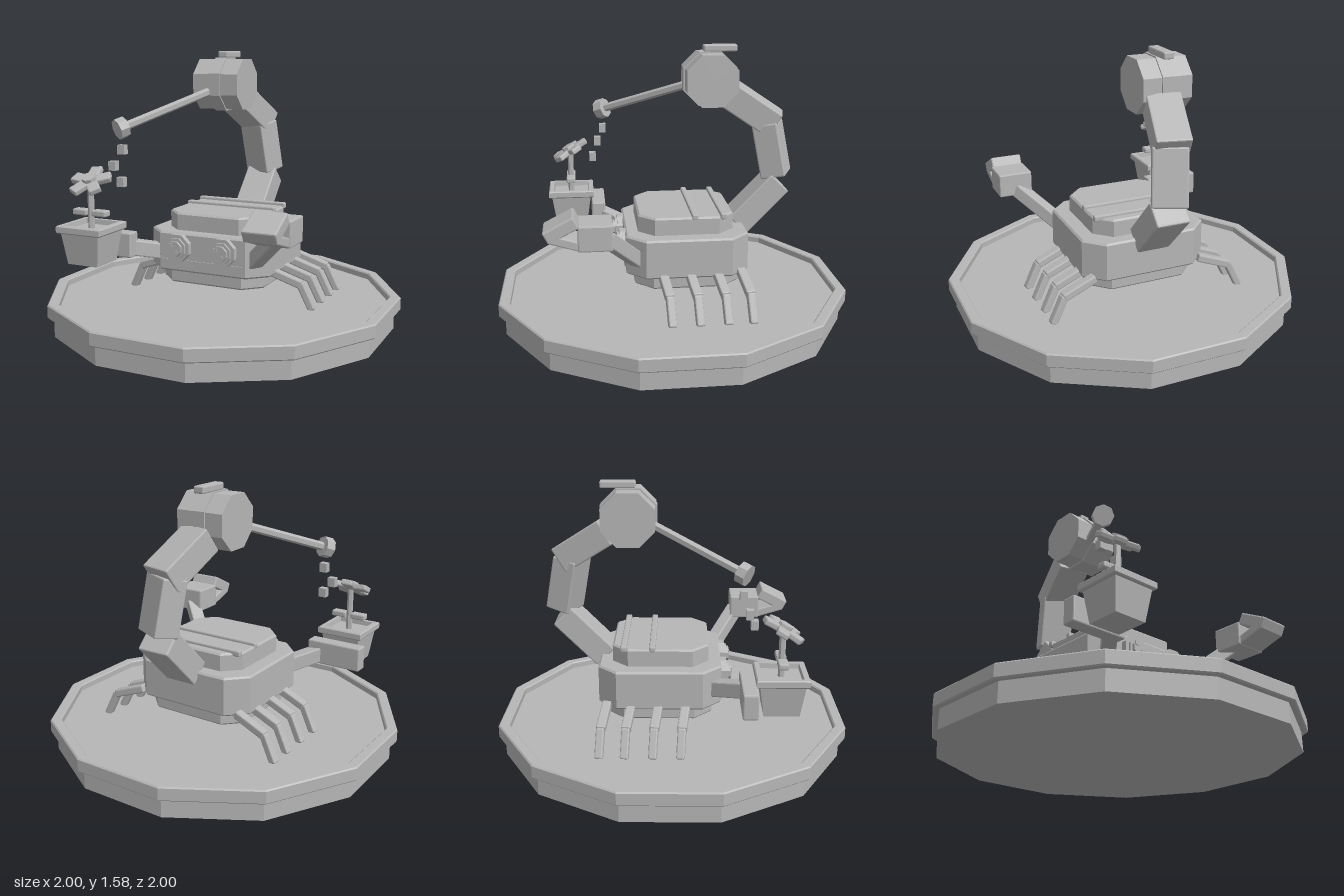
import * as THREE from 'three';
import { RoundedBoxGeometry } from 'three/addons/geometries/RoundedBoxGeometry.js';

const V = (x, y, z) => new THREE.Vector3(x, y, z);

export function createModel() {
  const model = new THREE.Group();
  model.name = 'gardenCrabScorpion';
  const clay = new THREE.MeshStandardMaterial({ color: 0xb6b6b6 });
  clay.name = 'clay grey';

  // faceted mesh
  const add = (name, geo, pos = V(0, 0, 0), parent = model) => {
    const flat = geo.index ? geo.toNonIndexed() : geo;
    flat.computeVertexNormals();
    const mesh = new THREE.Mesh(flat, clay);
    mesh.name = name;
    mesh.position.copy(pos);
    parent.add(mesh);
    return mesh;
  };
  const block = (w, h, d, bevel = 0.008) => new RoundedBoxGeometry(w, h, d, 1, bevel);
  // bar running from a to b
  const beam = (name, a, b, w, h) => {
    const mesh = add(name, block(w, h, a.distanceTo(b)), a.clone().add(b).multiplyScalar(0.5));
    mesh.lookAt(b);
    return mesh;
  };
  // round bar running from a to b
  const rod = (name, a, b, r, sides) => {
    const mesh = add(name, new THREE.CylinderGeometry(r, r, a.distanceTo(b), sides).rotateX(Math.PI / 2),
      a.clone().add(b).multiplyScalar(0.5));
    mesh.lookAt(b);
    return mesh;
  };
  const lathe = (points, sides) => new THREE.LatheGeometry(
    points.map(([r, y]) => new THREE.Vector2(r / Math.cos(Math.PI / sides), y)), sides, Math.PI / sides);
  // flat slab with cut corners, x0..x1, z0..z1, y0..y1
  const slab = (name, x0, x1, z0, z1, y0, y1, cut) => {
    const s = new THREE.Shape([
      [x0 + cut, -z1], [x1 - cut, -z1], [x1, -z1 + cut], [x1, -z0 - cut],
      [x1 - cut, -z0], [x0 + cut, -z0], [x0, -z0 - cut], [x0, -z1 + cut],
    ].map(p => new THREE.Vector2(...p)));
    const b = 0.01;
    const geo = new THREE.ExtrudeGeometry(s, {
      depth: y1 - y0 - 2 * b, bevelEnabled: true, bevelSegments: 1,
      bevelSize: b, bevelThickness: b, bevelOffset: -b,
    });
    return add(name, geo.rotateX(-Math.PI / 2), V(0, y0 + b, 0));
  };

  // twelve-sided base with raised rim
  add('base', lathe([[0, 0], [0.965, 0], [0.965, 0.11], [0.993, 0.11], [1, 0.117], [1, 0.183],
    [0.993, 0.19], [0.945, 0.19], [0.938, 0.183], [0.938, 0.15], [0, 0.15]], 12));

  // body
  slab('belly', -0.32, 0.32, -0.37, 0.23, 0.26, 0.35, 0.1);
  slab('body', -0.372, 0.372, -0.412, 0.28, 0.34, 0.565, 0.105);
  slab('shell', -0.283, 0.283, -0.335, 0.208, 0.55, 0.665, 0.09);
  for (const z of [-0.268, -0.107]) add('shellRidge', block(0.57, 0.035, 0.035), V(0, 0.665, z));
  const mouth = new THREE.Shape([[-0.19, 0.36], [0.19, 0.36], [0.25, 0.41], [-0.25, 0.41]]
    .map(p => new THREE.Vector2(...p)));
  add('mouth', new THREE.ExtrudeGeometry(mouth, { depth: 0.008, bevelEnabled: false }), V(0, 0, 0.278));

  // eyes
  const disc = (r, d) => new THREE.CylinderGeometry(r, r, d, 8, 1, false, Math.PI / 8).rotateX(Math.PI / 2);
  for (const x of [-0.144, 0.137]) {
    add('eyeRing', disc(0.083, 0.04), V(x, 0.483, 0.292));
    add('eye', disc(0.062, 0.02), V(x, 0.483, 0.315));
    add('pupil', disc(0.045, 0.02), V(x, 0.483, 0.33));
    add('eyeGlint', new THREE.BoxGeometry(0.022, 0.022, 0.008), V(x - 0.026, 0.505, 0.341));
    add('smallGlint', new THREE.BoxGeometry(0.013, 0.013, 0.008), V(x + 0.016, 0.467, 0.341));
  }

  // four legs on each side
  for (const side of [-1, 1]) for (const z of [-0.362, -0.224, -0.07, 0.082]) {
    const knee = V(side * 0.515, 0.287, z - 0.022);
    beam('upperLeg', V(side * 0.32, 0.357, z), knee, 0.052, 0.046);
    beam('lowerLeg', knee.clone().add(V(-side * 0.008, 0.008, 0)), V(side * 0.58, 0.145, z - 0.03), 0.046, 0.042);
  }

  // raised left claw
  beam('leftArm', V(0.27, 0.41, 0.2), V(0.52, 0.645, 0.4), 0.08, 0.08);
  add('leftClaw', block(0.2, 0.14, 0.18), V(0.532, 0.68, 0.455));
  add('upperPincer', block(0.185, 0.07, 0.18), V(0.532, 0.727, 0.63)).rotation.x = 0.48;
  add('lowerPincer', block(0.185, 0.05, 0.17), V(0.532, 0.66, 0.61)).rotation.x = -0.3;

  // right claw holding the pot
  beam('rightArm', V(-0.24, 0.425, 0.18), V(-0.42, 0.49, 0.41), 0.08, 0.09);
  add('rightClaw', block(0.335, 0.142, 0.083), V(-0.525, 0.504, 0.415));

  // flower pot with soil
  add('pot', lathe([[0, 0.425], [0.095, 0.425], [0.12, 0.6], [0.133, 0.6], [0.139, 0.607], [0.139, 0.637],
    [0.133, 0.643], [0.108, 0.643], [0.105, 0.615], [0, 0.615]], 4), V(-0.525, 0, 0.583));
  add('stem', new THREE.CylinderGeometry(0.018, 0.018, 0.27, 6), V(-0.525, 0.745, 0.583));
  for (const side of [-1, 1]) add('leaf', block(0.09, 0.035, 0.055), V(-0.525 + side * 0.062, 0.705, 0.583));

  // flower
  const flower = new THREE.Group();
  flower.name = 'flower';
  flower.position.set(-0.525, 0.878, 0.585);
  flower.rotation.x = 0.52;
  model.add(flower);
  for (let i = 0; i < 5; i++) {
    const a = (46 + 72 * i) * Math.PI / 180;
    add('petal', block(0.085, 0.034, 0.068), V(Math.cos(a) * 0.076, 0, Math.sin(a) * 0.076), flower).rotation.y = -a;
  }
  add('flowerCentre', new THREE.CylinderGeometry(0.04, 0.046, 0.05, 8), V(0, 0.008, 0), flower);

  // segmented tail
  beam('tailBase', V(0, 0.545, -0.385), V(0, 0.795, -0.63), 0.192, 0.145);
  const middle = add('tailMiddle', block(0.19, 0.315, 0.145), V(-0.01, 0.98, -0.595));
  middle.rotation.set(0.2, -0.42, 0, 'YXZ');
  beam('tailTip', V(-0.015, 1.125, -0.615), V(-0.08, 1.305, -0.345), 0.19, 0.155);

  // watering can
  const drum = (r, w) => new THREE.CylinderGeometry(r, r, w, 8, 1, false, Math.PI / 8).rotateZ(Math.PI / 2);
  add('canBody', drum(0.16, 0.285), V(-0.098, 1.385, -0.237));
  add('canBand', drum(0.169, 0.07), V(-0.098, 1.385, -0.237));
  add('canHandle', block(0.062, 0.04, 0.195), V(-0.098, 1.56, -0.295));
  add('handlePost', block(0.05, 0.04, 0.045), V(-0.098, 1.535, -0.225));
  const spoutStart = V(-0.13, 1.35, -0.12), spoutEnd = V(-0.45, 1.155, 0.38);
  rod('spout', spoutStart, spoutEnd, 0.025, 6);
  const along = spoutEnd.clone().sub(spoutStart).normalize().multiplyScalar(0.027);
  rod('sprinkler', spoutEnd.clone().sub(along), spoutEnd.clone().add(along), 0.06, 8);

  // falling drops
  for (const p of [[-0.445, 1.035, 0.38], [-0.485, 0.945, 0.412], [-0.412, 0.863, 0.445]])
    add('waterDrop', new THREE.BoxGeometry(0.045, 0.053, 0.04), V(...p));

  return model;
}
